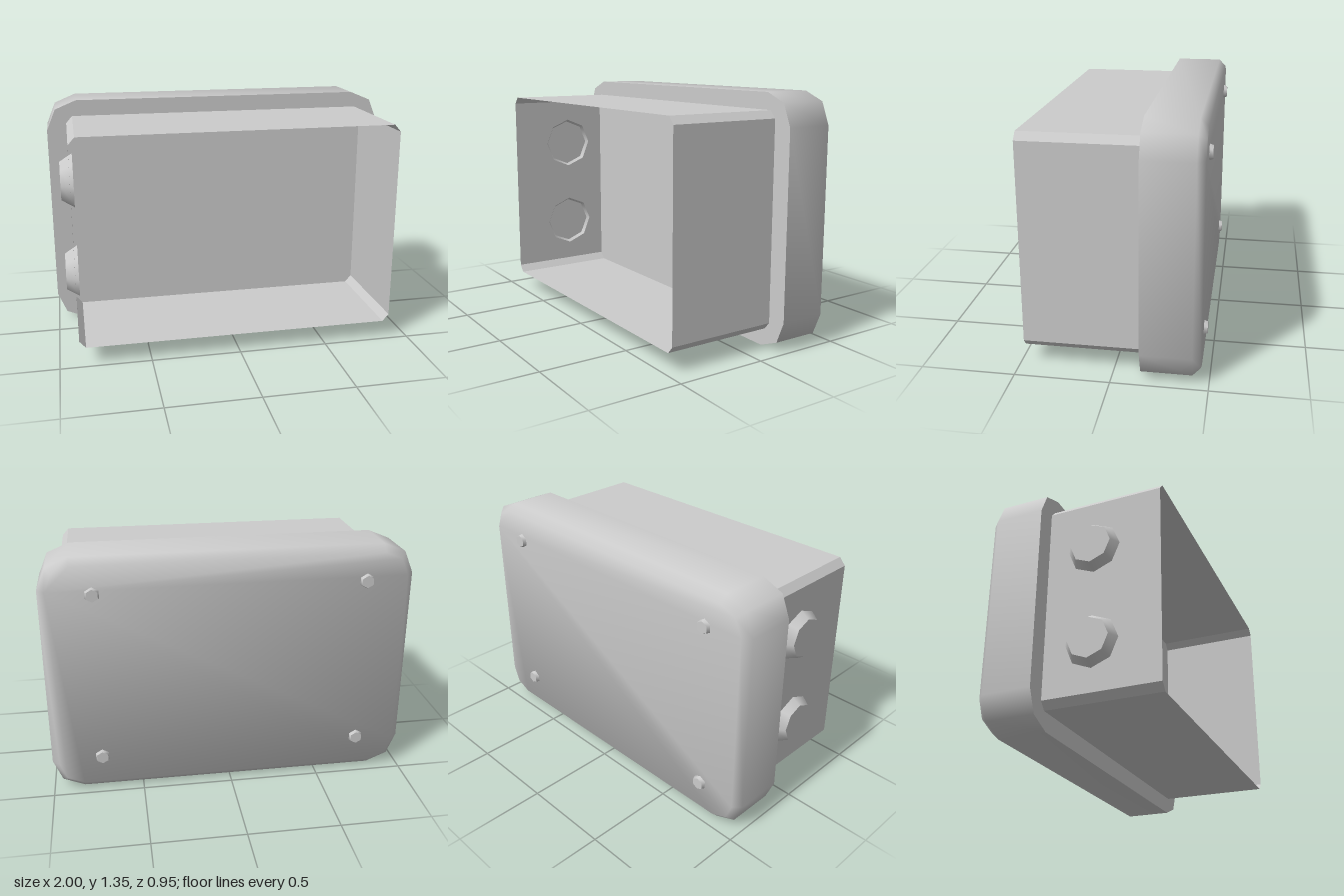
import * as THREE from 'three';
import { toCreasedNormals } from 'three/addons/utils/BufferGeometryUtils.js';

// Rectangle with cut corners, counter-clockwise seen from +z
function outline(w, h, rx, ry, segs) {
  const pts = [];
  for (let q = 0; q < 4; q++) {
    const sx = q === 0 || q === 3 ? 1 : -1;
    const sy = q < 2 ? 1 : -1;
    for (let k = 0; k <= segs; k++) {
      const a = (q + k / segs) * Math.PI / 2;
      pts.push([sx * (w - rx) + rx * Math.cos(a), sy * (h - ry) + ry * Math.sin(a)]);
    }
  }
  return pts;
}

// Skin a list of { z, pts } rings running from front to back
function loft(rings, capped, crease) {
  const n = rings[0].pts.length;
  const pos = rings.flatMap(r => r.pts.flatMap(([x, y]) => [x, y, r.z]));
  const idx = [];
  for (let i = 0; i < rings.length - 1; i++) {
    for (let j = 0; j < n; j++) {
      const a = i * n + j, b = i * n + (j + 1) % n;
      idx.push(a, a + n, b, b, a + n, b + n);
    }
  }
  if (capped) {
    const last = (rings.length - 1) * n;
    for (let j = 1; j < n - 1; j++) {
      idx.push(0, j, j + 1, last, last + j + 1, last + j);
    }
  }
  const g = new THREE.BufferGeometry();
  g.setAttribute('position', new THREE.Float32BufferAttribute(pos, 3));
  g.setIndex(idx);
  return toCreasedNormals(g, crease);
}

export function createModel() {
  const group = new THREE.Group();
  const solid = new THREE.MeshStandardMaterial({ color: 0xcccccc });
  const thin = new THREE.MeshStandardMaterial({ color: 0xcccccc, side: THREE.DoubleSide });

  const add = (name, geometry, material, x, y, z) => {
    const mesh = new THREE.Mesh(geometry, material);
    mesh.name = name;
    mesh.position.set(x, y, z);
    group.add(mesh);
    return mesh;
  };

  // Rounded cover with a bevelled back edge
  const full = outline(1, 0.675, 0.17, 0.17, 2);
  const inset = outline(0.96, 0.635, 0.13, 0.13, 2);
  add('cover', loft([
    { z: -0.15, pts: full },
    { z: -0.415, pts: full },
    { z: -0.455, pts: inset },
  ], true, 1.1), solid, 0, 0.675, 0);

  // Thin-walled housing, open at the front
  const wall = outline(0.89, 0.58, 0.035, 0.04, 1);
  add('housing', loft([{ z: 0.475, pts: wall }, { z: -0.15, pts: wall }], false, 0.3),
    thin, 0, 0.68, 0);

  // Cable entries: tapered eight-sided cups, open towards the inside
  const cup = new THREE.CylinderGeometry(0.11, 0.155, 0.07, 8, 1, true);
  const cupEnd = new THREE.CircleGeometry(0.11, 8).rotateX(-Math.PI / 2).translate(0, 0.035, 0);
  for (const y of [0.41, 0.945]) {
    const entry = add('cableEntry', cup, thin, -0.905, y, 0.11);
    entry.rotation.z = Math.PI / 2;
    const end = new THREE.Mesh(cupEnd, thin);
    end.name = 'cableEntryEnd';
    entry.add(end);
  }

  // Six-sided screw heads on the cover
  const screw = toCreasedNormals(new THREE.CylinderGeometry(0.045, 0.035, 0.03, 6), 1.1);
  screw.rotateX(Math.PI / 2);
  for (const x of [-0.735, 0.722]) {
    for (const y of [0.203, 1.157]) add('screw', screw, solid, x, y, -0.46);
  }

  return group;
}
